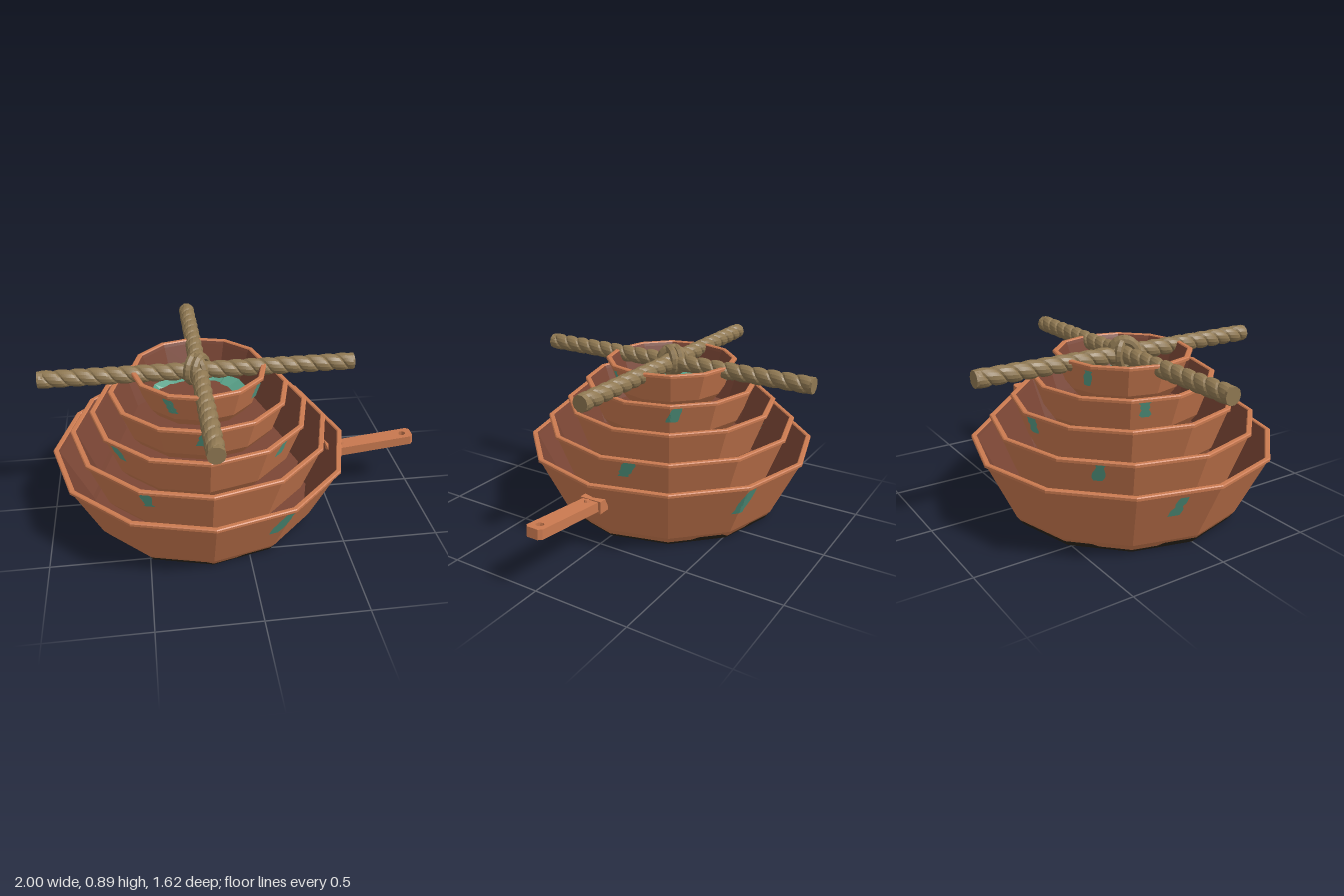
import * as THREE from 'three';
import { mergeGeometries } from 'three/addons/utils/BufferGeometryUtils.js';
import { ParametricGeometry } from 'three/addons/geometries/ParametricGeometry.js';

const SIDES = 12, STEP = (Math.PI * 2) / SIDES, CX = -0.19;

function mat(name, color) {
  const m = new THREE.MeshStandardMaterial({ color });
  m.name = name;
  return m;
}

// Faceted normals for the low-poly look
function flat(geo) {
  const g = geo.index ? geo.toNonIndexed() : geo;
  g.computeVertexNormals();
  return g;
}

function add(parent, name, geo, material) {
  const m = new THREE.Mesh(flat(geo), material);
  m.name = name;
  parent.add(m);
  return m;
}

const lathe = (pts) => new THREE.LatheGeometry(pts.map(([r, y]) => new THREE.Vector2(r, y)), SIDES);

// Point on a twelve-sided ring whose corners lie at radius r
function ringPoint(phi, r, y, target) {
  const a = ((phi % STEP) + STEP) % STEP;
  const d = (r * Math.cos(STEP / 2)) / Math.cos(a - STEP / 2);
  return target.set(d * Math.sin(phi), y, d * Math.cos(phi));
}

// Repeatable jagged value from 0 to 1
const noise = (i) => { const s = Math.sin(i * 127.1 + 3.7) * 43758.5; return s - Math.floor(s); };

// Bowls: rim radius, rim height, base height, wall slope
const TIERS = [
  [0.783, 0.37, 0, 0.48], [0.683, 0.48, 0.16, 0.38], [0.573, 0.59, 0.32, 0.36],
  [0.47, 0.70, 0.48, 0.35], [0.353, 0.817, 0.61, 0.34],
];
const LIP = 0.013;
const wallR = ([R, top, , slope], y) => R - LIP - slope * (top - 0.02 - y);

// Patina stains: tier, angle in degrees, low y, high y, width, lean
const STAINS = [
  [0, 27, 0.19, 0.34, 0.07, 0.04], [0, 151, 0.19, 0.34, 0.07, 0.04], [0, -104, 0.22, 0.33, 0.06, 0.03],
  [1, -28, 0.37, 0.46, 0.055, -0.005], [1, 101, 0.37, 0.46, 0.075, 0.05], [1, -134, 0.37, 0.46, 0.06, 0.02],
  [2, -53, 0.485, 0.57, 0.06, -0.025], [2, 44, 0.485, 0.57, 0.065, 0.02], [2, -176, 0.485, 0.57, 0.06, 0.01],
  [3, -3, 0.6, 0.68, 0.06, 0.03], [3, 123, 0.6, 0.68, 0.06, 0.03], [3, -111, 0.6, 0.68, 0.06, -0.01],
  [4, -31, 0.7, 0.785, 0.055, -0.02], [4, 58, 0.705, 0.785, 0.06, 0.01], [4, -156, 0.7, 0.785, 0.055, 0.03],
];

// Twisted two-strand rope along x, with bound ends
function rope(name, length, material) {
  const pitch = 0.16;
  const twist = new ParametricGeometry((u, v, p) => {
    const s = (v - 0.5) * (length - 0.02);
    const a = Math.PI * 2 * (u + s / pitch);
    const r = 0.036 + 0.01 * Math.sqrt(Math.abs(Math.sin(u * Math.PI * 2)));
    p.set(s, r * Math.cos(a), r * Math.sin(a));
  }, 16, 150);
  const ends = [-1, 1].map((s) => new THREE.CylinderGeometry(0.043, 0.043, 0.03, 10)
    .rotateZ(Math.PI / 2).translate(s * (length / 2 - 0.015), 0, 0));
  const m = new THREE.Mesh(flat(mergeGeometries([twist, ...ends])), material);
  m.name = name;
  return m;
}

export function createModel() {
  const model = new THREE.Group();
  model.name = 'stackedBowls';
  const copper = mat('copper', 0xcb7a50);
  const inside = mat('dark copper', 0x7b4635);
  const patina = mat('patina', 0x58a088);
  const soot = mat('soot', 0x2a251b);
  const hemp = mat('rope', 0x8f7852);

  const body = new THREE.Group();
  body.name = 'bowls';
  body.position.x = CX;
  model.add(body);

  // Nested bowls: outer wall with lip, then the darker lining
  TIERS.forEach((t, i) => {
    const [R, top, base] = t;
    const bowl = new THREE.Group();
    bowl.name = 'bowl' + (i + 1);
    body.add(bowl);
    const knee = wallR(t, base + 0.05);
    const lip = R - 0.028;
    add(bowl, 'outerWall', lathe([
      [0, base], [knee - 0.04, base], [knee, base + 0.05], [R - LIP, top - 0.02],
      [R, top - 0.016], [R, top - 0.004], [R - 0.005, top], [lip + 0.005, top], [lip, top - 0.005],
    ]), copper);
    add(bowl, 'lining', lathe([
      [lip, top - 0.005], [lip - 0.006, top - 0.02], [knee - 0.02, base + 0.05],
      [knee - 0.03, base + 0.02], [0, base + 0.02],
    ]), inside);
  });

  // Patina stains on the walls
  STAINS.forEach(([i, deg, y0, y1, w, lean], n) => {
    const t = TIERS[i];
    add(body, 'patinaStain', new ParametricGeometry((u, v, p) => {
      const y = y0 + (y1 - y0) * v, r = wallR(t, y) + 0.005;
      const width = w * (0.6 + 0.5 * noise(Math.round(v * 6) + n * 9));
      const phi = (deg * Math.PI) / 180 + ((u - 0.5) * width + lean * (v - 0.5)) / r;
      ringPoint(phi, r, y, p);
    }, 6, 6), patina);
  });

  // Ragged patina ring on the floor of the top bowl
  add(body, 'floorPatina', new ParametricGeometry((u, v, p) => {
    const k = Math.round(u * 72) % 72;
    const inner = 0.185 + 0.05 * noise(Math.floor(k / 4));
    ringPoint(u * Math.PI * 2, 0.262 + (inner - 0.262) * v, 0.634 + 0.022 * (1 - v), p);
  }, 72, 1), patina);

  // Burnt base and ragged soot edge
  add(body, 'sootBase', lathe([[0, 0], [0.59, 0]]).translate(0, -0.001, 0), soot);
  const foot = wallR(TIERS[0], 0.05) - 0.036;
  add(body, 'sootEdge', new ParametricGeometry((u, v, p) => {
    const k = Math.round(u * 120) % 120;
    const y = v * (noise(Math.floor(k / 5)) > 0.4 ? 0.034 : 0.017);
    ringPoint(u * Math.PI * 2, foot + 0.8 * y, y, p);
  }, 120, 1), soot);

  // Handle with hanging hole, socket and rivet
  const handle = new THREE.Group();
  handle.name = 'handle';
  handle.position.set(0.54, 0.222, 0);
  handle.rotation.z = 0.11;
  model.add(handle);
  const L = 0.463, W = 0.046, C = 0.016;
  const bar = new THREE.Shape([
    [0, -W], [L - C, -W], [L, -W + C], [L, W - C], [L - C, W], [0, W],
  ].map(([x, y]) => new THREE.Vector2(x, y)));
  const hole = new THREE.Path();
  hole.absarc(L - 0.052, 0, 0.02, 0, Math.PI * 2, true);
  bar.holes.push(hole);
  const barGeo = new THREE.ExtrudeGeometry(bar, { depth: 0.05, bevelEnabled: false, curveSegments: 5 });
  add(handle, 'handleBar', barGeo.rotateX(-Math.PI / 2), copper);
  add(handle, 'rivet', new THREE.CylinderGeometry(0.012, 0.015, 0.014, 8).translate(0.065, 0.055, 0), copper);
  const socket = add(model, 'handleSocket', new THREE.BoxGeometry(0.06, 0.065, 0.12), copper);
  socket.position.set(0.54, 0.248, 0);
  add(model, 'socketShade', new THREE.BoxGeometry(0.004, 0.04, 0.09), inside).position.set(0.571, 0.243, 0);

  // Crossed ropes
  const ropeX = rope('longRope', 1.624, hemp);
  ropeX.position.set(CX + 0.002, 0.79, 0);
  const ropeZ = rope('crossRope', 1.624, hemp);
  ropeZ.position.set(CX, 0.792, 0);
  ropeZ.rotation.y = Math.PI / 2;
  model.add(ropeX, ropeZ);

  // Lashing loops tied diagonally around the crossing
  const knot = new THREE.Group();
  knot.name = 'lashing';
  knot.position.set(CX - 0.01, 0.797, 0);
  model.add(knot);
  for (const [angle, shift] of [[1.0, -0.02], [1.0, 0.02], [2.1, 0]]) {
    const loop = add(knot, 'lashingLoop', new THREE.TorusGeometry(0.066, 0.022, 7, 20).translate(0, 0, shift), hemp);
    loop.rotation.y = angle;
  }
  return model;
}
